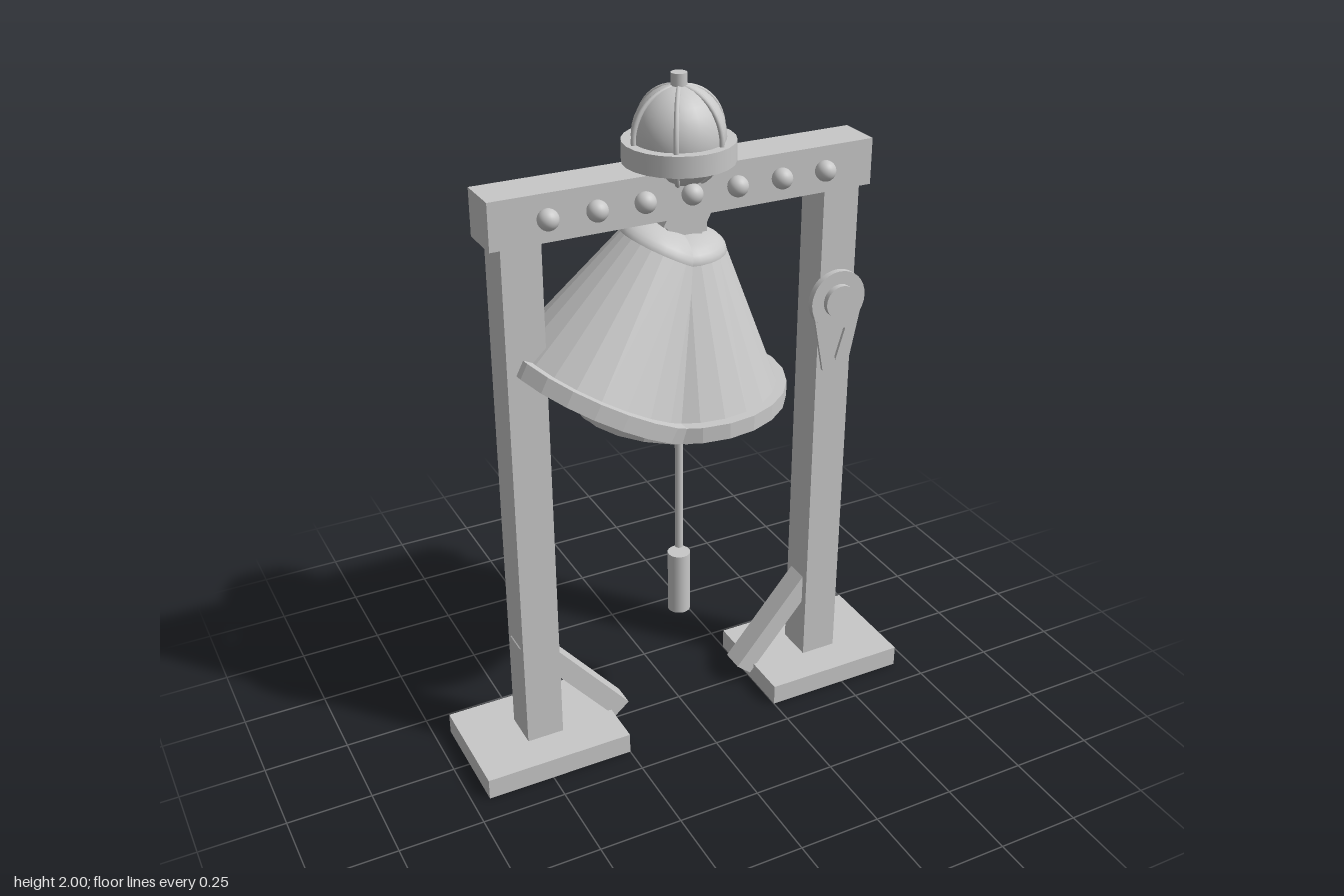
import * as THREE from 'three';

const grey = new THREE.MeshStandardMaterial({ color: 0xc8c8c8 });
grey.name = 'plain grey';

function part(parent, name, geometry, x = 0, y = 0, z = 0) {
  const mesh = new THREE.Mesh(geometry, grey);
  mesh.name = name;
  mesh.position.set(x, y, z);
  parent.add(mesh);
  return mesh;
}

// Gives every face its own normal
function faceted(geometry) {
  const flat = geometry.toNonIndexed();
  flat.computeVertexNormals();
  return flat;
}

const box = (w, h, d) => new THREE.BoxGeometry(w, h, d);
const drum = (r, h, sides = 24) => new THREE.CylinderGeometry(r, r, h, sides);
const ball = (r) => new THREE.SphereGeometry(r, 24, 16);

// One bell, hung from its own origin
function makeBell(name) {
  const bell = new THREE.Group();
  bell.name = name;
  part(bell, 'yoke', box(0.118, 0.08, 0.1));
  const shoulder = new THREE.SphereGeometry(0.13, 24, 8, 0, Math.PI * 2, 0, Math.PI / 2);
  shoulder.scale(1, 0.5, 1);
  part(bell, 'bellShoulder', shoulder, 0, -0.1, 0);
  part(bell, 'bellBody', faceted(new THREE.CylinderGeometry(0.13, 0.277, 0.4, 24)), 0, -0.3, 0);
  part(bell, 'bellRim', faceted(drum(0.303, 0.046)), 0, -0.512, 0);
  part(bell, 'clapper', ball(0.046), 0, -0.577, 0);
  return bell;
}

export function createModel() {
  const model = new THREE.Group();
  model.name = 'bellFrame';

  // Feet, posts and slanted braces, mirrored
  for (const side of [-1, 1]) {
    const label = side > 0 ? 'left' : 'right';
    part(model, label + 'Foot', box(0.45, 0.065, 0.335), side * 0.475, 0.0325, 0);
    part(model, label + 'Post', box(0.112, 1.575, 0.114), side * 0.476, 0.85, 0);
    const brace = part(model, label + 'Brace', box(0.06, 0.462, 0.07), side * 0.363, 0.232, 0);
    brace.rotation.z = -side * 0.7;
  }

  // Crossbeam with a row of studs along the front
  part(model, 'crossbeam', box(1.126, 0.132, 0.13), 0, 1.696, 0);
  for (let i = -3; i <= 3; i++) {
    part(model, 'stud', ball(0.029), i * 0.1357, 1.696, 0.078);
  }

  // Two overlapping bells, one upright and one swung aside
  const upright = makeBell('uprightBell');
  const swung = makeBell('swungBell');
  upright.position.y = swung.position.y = 1.615;
  swung.rotation.z = -THREE.MathUtils.degToRad(27);
  model.add(upright, swung);

  // Pull rope and handle
  part(model, 'rope', drum(0.012, 0.46, 12), 0, 0.796, 0);
  part(model, 'handle', drum(0.034, 0.2, 20), 0, 0.446, 0);

  // Ribbed crown on the beam
  const crown = new THREE.Group();
  crown.name = 'crown';
  crown.position.y = 1.832;
  model.add(crown);
  const dome = ball(0.126);
  dome.scale(1, 1.085, 1);
  part(crown, 'dome', dome);
  part(crown, 'crownBand', drum(0.153, 0.058), 0, -0.036, 0);
  for (let i = 0; i < 3; i++) {
    const rib = part(crown, 'rib', new THREE.TorusGeometry(0.132, 0.007, 8, 48));
    rib.rotation.y = i * Math.PI / 3;
  }
  part(crown, 'finial', drum(0.022, 0.06, 16), 0, 0.138, 0);

  // Round fitting with a pierced tail on the left post
  const fitting = new THREE.Group();
  fitting.name = 'postFitting';
  fitting.position.set(0.473, 1.3, 0);
  model.add(fitting);
  const disc = part(fitting, 'fittingDisc', drum(0.088, 0.02, 32), 0, 0, 0.065);
  const hub = part(fitting, 'fittingHub', drum(0.049, 0.04, 32), 0, 0, 0.072);
  disc.rotation.x = hub.rotation.x = Math.PI / 2;
  const points = (list) => list.map(([x, y]) => new THREE.Vector2(x, y));
  const tail = new THREE.Shape(points([[-0.042, -0.215], [0.042, -0.215], [0.076, -0.045], [-0.076, -0.045]]));
  tail.holes.push(new THREE.Path(points([[-0.029, -0.092], [0.029, -0.092], [0, -0.19]])));
  part(fitting, 'fittingTail', new THREE.ExtrudeGeometry(tail, { depth: 0.009, bevelEnabled: false }), 0, 0, 0.065);

  return model;
}
